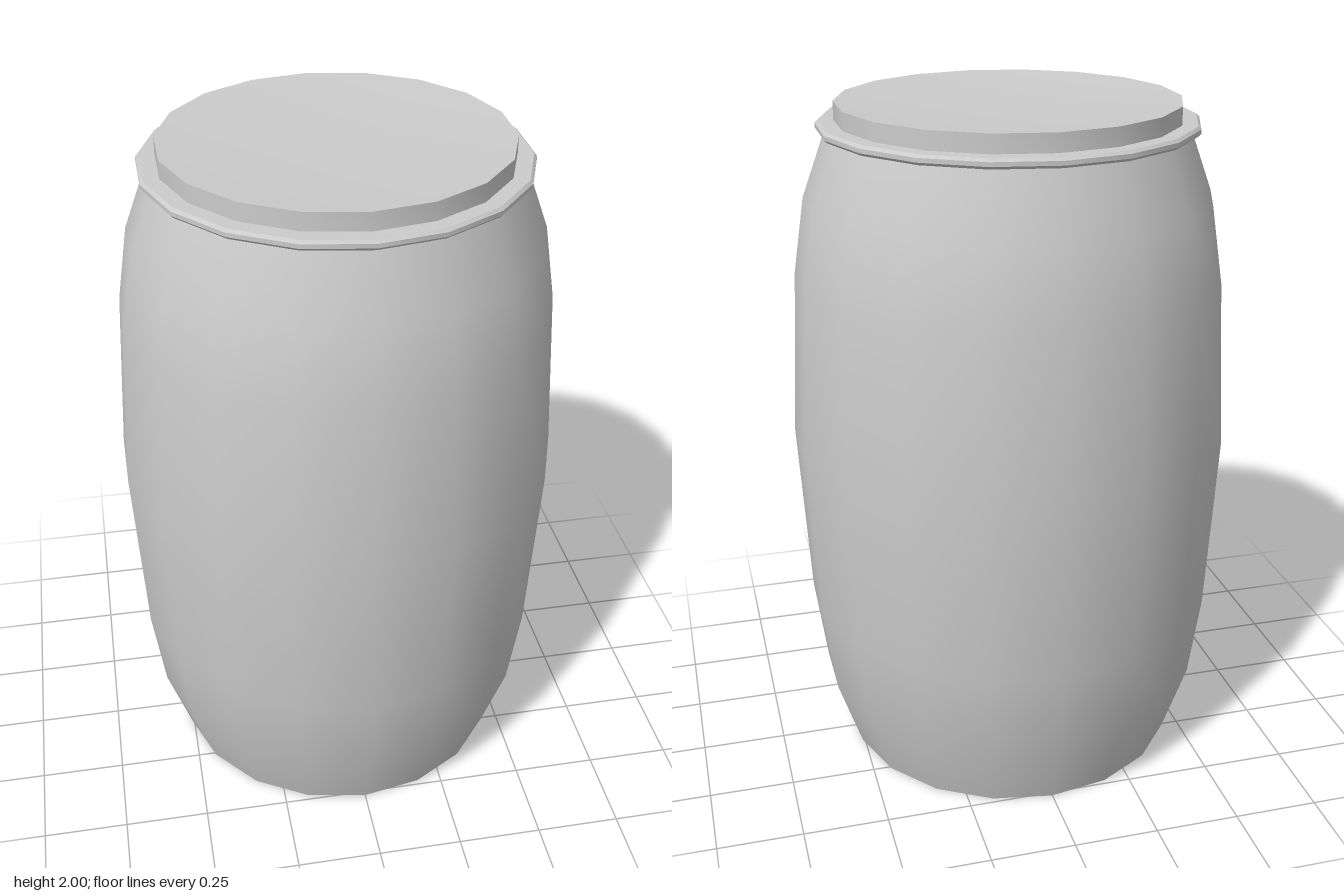
import * as THREE from 'three';
import { toCreasedNormals } from 'three/addons/utils/BufferGeometryUtils.js';

const SIDES = 18;
const material = new THREE.MeshStandardMaterial({ color: 0xcccccc });

// Turned part from [radius, height] pairs listed bottom to top
function turned(name, profile, crease) {
  const points = profile.map(([r, y]) => new THREE.Vector2(r, y));
  const lathe = new THREE.LatheGeometry(points, SIDES);
  const mesh = new THREE.Mesh(toCreasedNormals(lathe, crease), material);
  mesh.name = name;
  return mesh;
}

export function createModel() {
  const barrel = new THREE.Group();
  barrel.name = 'barrel';

  // Bulging body with a closed flat base
  barrel.add(turned('body', [
    [0, 0], [0.515, 0], [0.587, 0.22], [0.622, 0.48], [0.65, 1.02],
    [0.622, 1.51], [0.587, 1.73], [0.515, 1.925],
  ], 0.7));

  // Clamping ring under the lid
  barrel.add(turned('clampRing', [
    [0.49, 1.92], [0.535, 1.92], [0.543, 1.928], [0.543, 1.94], [0.535, 1.948], [0.48, 1.948],
  ], 0.6));

  // Lid with a very shallow dished top
  barrel.add(turned('lid', [
    [0.49, 1.925], [0.49, 2], [0.45, 1.997], [0.18, 1.985], [0, 1.985],
  ], 0.6));

  return barrel;
}
